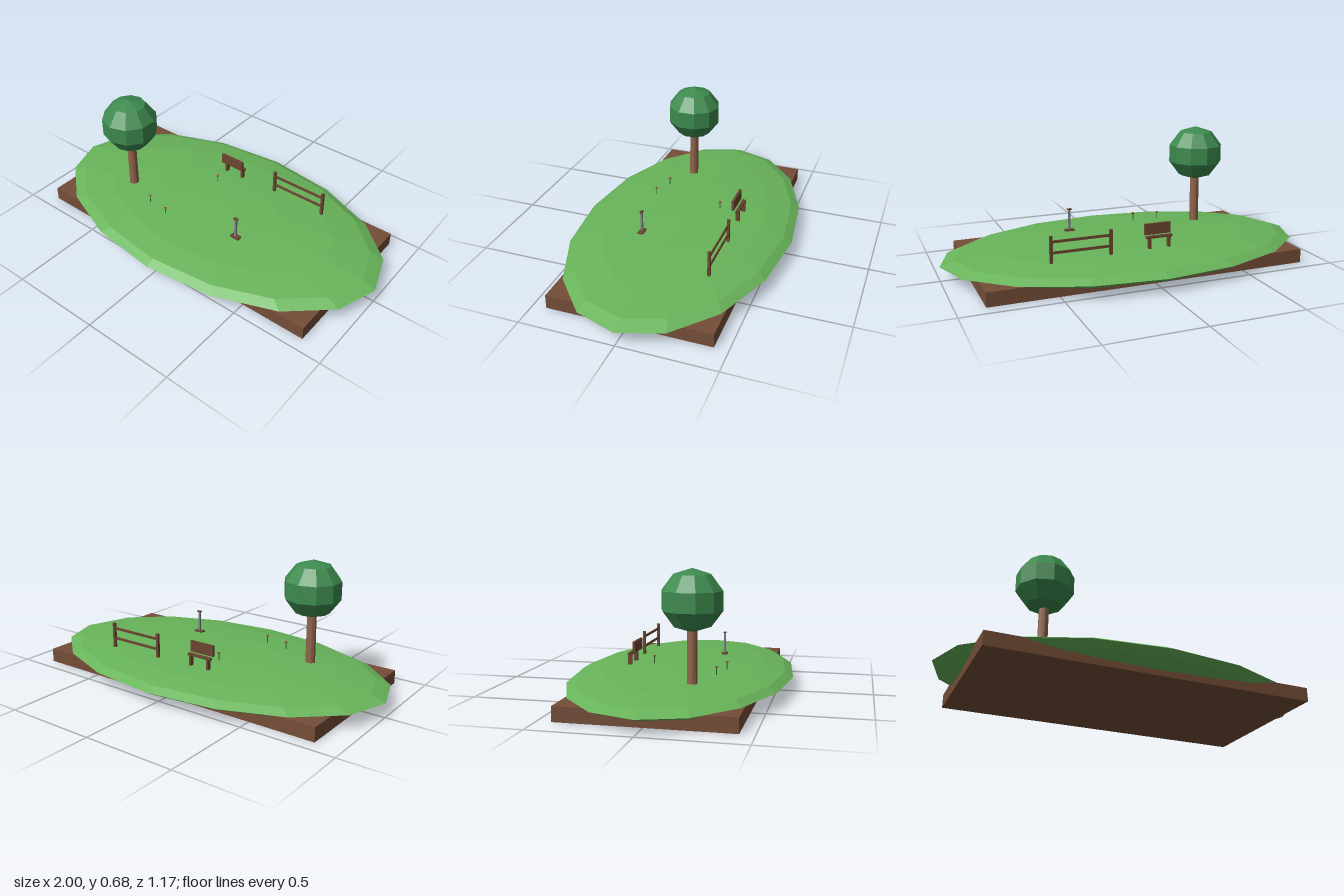
import * as THREE from 'three';

const mat = (name, color) => {
  const m = new THREE.MeshStandardMaterial({ color, flatShading: true });
  m.name = name;
  return m;
};

export function createModel() {
  const grass = mat('grass', 0x68b45a);
  const soil = mat('soil', 0x744d38);
  const leaf = mat('leaf', 0x3d8b4f);
  const bark = mat('bark', 0x90644a);
  const wood = mat('wood', 0x6b452f);
  const metal = mat('metal', 0x7c7c86);
  const stem = mat('stem', 0x2f6a38);
  const petal = mat('petal', 0x9a4a2c);

  const model = new THREE.Group();
  model.name = 'parkIsland';

  const group = (name, x = 0, y = 0, z = 0) => {
    const g = new THREE.Group();
    g.name = name;
    g.position.set(x, y, z);
    model.add(g);
    return g;
  };
  const add = (parent, name, geo, material, x, y, z) => {
    const m = new THREE.Mesh(geo, material);
    m.name = name;
    m.position.set(x, y, z);
    parent.add(m);
    return m;
  };
  const box = (parent, name, material, w, h, d, x, y, z) =>
    add(parent, name, new THREE.BoxGeometry(w, h, d), material, x, y, z);

  // Soil slab and the flattened grass mound over it
  box(model, 'soilBase', soil, 1.714, 0.074, 0.856, 0, 0.037, 0);
  add(model, 'grassMound', new THREE.SphereGeometry(1, 16, 8).scale(1, 0.067, 0.584), grass, 0, 0.075, 0);

  // Tree
  const tree = group('tree', -0.5, 0, 0.145);
  add(tree, 'trunk', new THREE.CylinderGeometry(0.025, 0.026, 0.29, 10), bark, 0, 0.265, 0);
  const crown = new THREE.SphereGeometry(0.1565, 10, 5).rotateY(Math.PI / 2).scale(1, 0.975, 1);
  add(tree, 'crown', crown, leaf, 0, 0.528, 0);

  // Bench
  const bench = group('bench', -0.087, 0, 0);
  box(bench, 'backrest', wood, 0.146, 0.059, 0.013, 0, 0.228, -0.247);
  for (const z of [-0.266, -0.276]) {
    box(bench, 'seatSlat', wood, 0.146, 0.012, 0.008, 0, 0.191, z);
  }
  for (const x of [-0.055, 0.055]) {
    box(bench, 'benchLeg', wood, 0.013, 0.07, 0.022, x, 0.161, -0.272);
  }

  // Fence
  const fence = group('fence', 0.342, 0, -0.284);
  for (const x of [-0.157, 0.157]) {
    box(fence, 'fencePost', wood, 0.015, 0.14, 0.014, x, 0.192, 0);
  }
  for (const y of [0.175, 0.232]) {
    box(fence, 'fenceRail', wood, 0.314, 0.013, 0.007, 0, y, 0);
  }

  // Small post on a foot plate
  const post = group('postLamp', 0.257, 0, 0.172);
  box(post, 'footPlate', wood, 0.052, 0.012, 0.03, 0, 0.139, 0);
  box(post, 'pole', metal, 0.011, 0.115, 0.011, 0, 0.2, 0);
  box(post, 'cap', wood, 0.026, 0.006, 0.014, 0, 0.26, 0);

  // Flowers
  for (const [x, z] of [[-0.3, 0.227], [-0.16, 0.256], [-0.115, -0.144]]) {
    const y = x === -0.115 ? 0.006 : 0;
    const flower = group('flower', x, y, z);
    add(flower, 'flowerStem', new THREE.CylinderGeometry(0.0025, 0.0025, 0.045, 5), stem, 0, 0.15, 0);
    add(flower, 'flowerHead', new THREE.SphereGeometry(0.009, 8, 5).scale(1, 0.55, 1), petal, 0, 0.173, 0);
  }

  return model;
}
